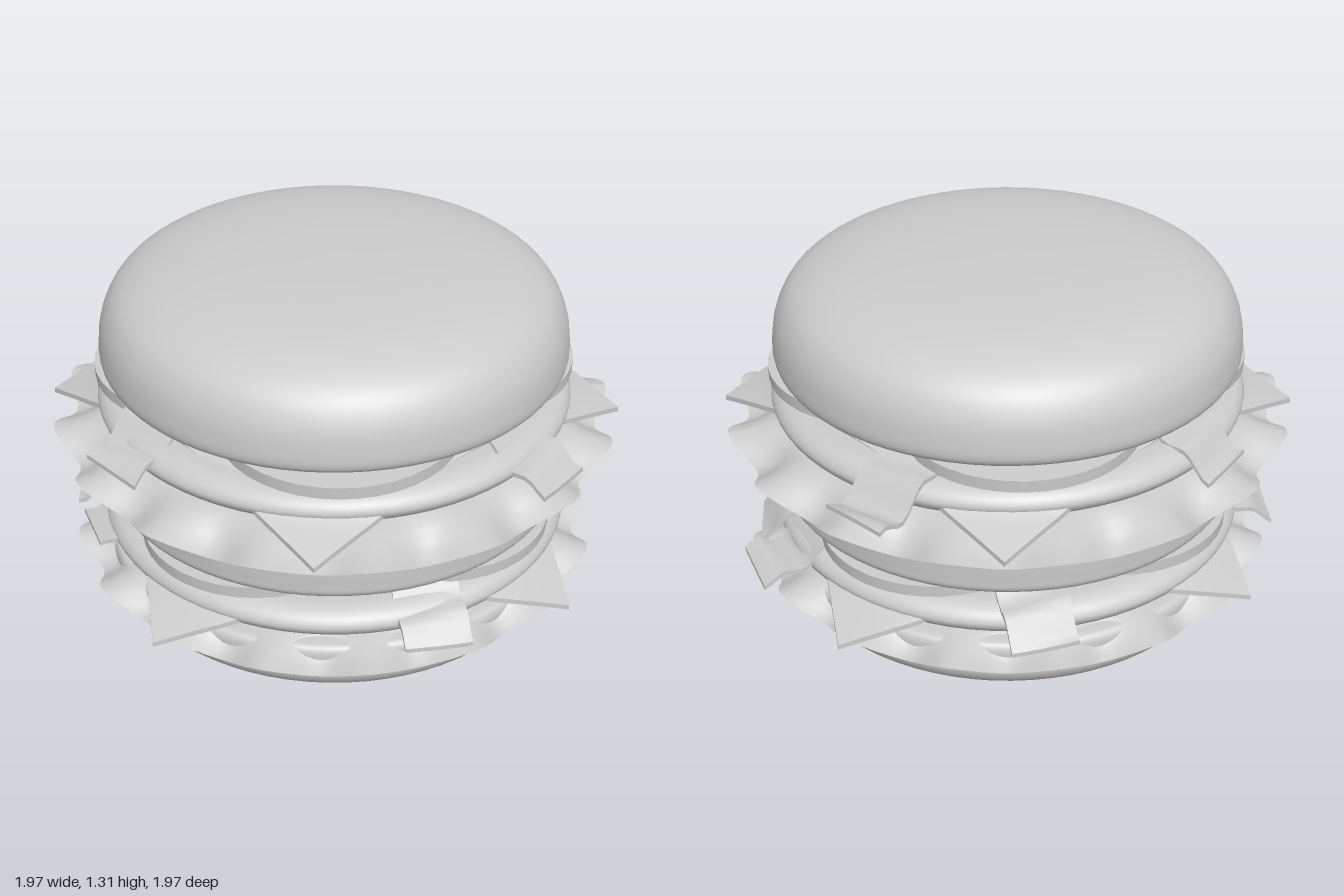
import * as THREE from 'three';

const material = new THREE.MeshStandardMaterial({ color: 0xcccccc });
const thinMaterial = new THREE.MeshStandardMaterial({ color: 0xcccccc, side: THREE.DoubleSide });
const smooth = THREE.MathUtils.smoothstep;

function add(parent, name, geometry, mat = material) {
  const mesh = new THREE.Mesh(geometry, mat);
  mesh.name = name;
  parent.add(mesh);
  return mesh;
}

// Move every vertex of a geometry by a rule, then refresh its normals
function bend(geometry, rule) {
  const p = geometry.attributes.position;
  const v = new THREE.Vector3();
  for (let i = 0; i < p.count; i++) {
    rule(v.fromBufferAttribute(p, i));
    p.setXYZ(i, v.x, v.y, v.z);
  }
  geometry.computeVertexNormals();
  return geometry;
}

// Round body from a smooth [radius, height] profile, bottom to top
function turned(points) {
  const curve = new THREE.CatmullRomCurve3(points.map(([r, y]) => new THREE.Vector3(r, y, 0)), false, 'centripetal');
  const profile = curve.getPoints(60).map(p => new THREE.Vector2(Math.max(p.x, 0), p.y));
  return new THREE.LatheGeometry(profile, 72);
}

// Leaf disc with a ruffled, drooping rim
function lettuce(radius, y) {
  const geometry = new THREE.RingGeometry(0.001, 1, 192, 20).rotateX(-Math.PI / 2);
  return bend(geometry, v => {
    const t = Math.hypot(v.x, v.z);
    const angle = Math.atan2(v.x, v.z);
    const wave = Math.cos(16 * angle);
    const edge = smooth(t, 0.74, 1);
    const reach = radius * (1 + edge * 0.033 * (wave - 1));
    v.x *= reach;
    v.z *= reach;
    v.y = y - edge * (0.068 - 0.027 * wave);
  });
}

// Square slice whose corners hang over the patty
function cheese(half, y, turn) {
  const geometry = new THREE.BoxGeometry(half * 2, 0.018, half * 2, 32, 1, 32);
  bend(geometry, v => {
    const over = Math.max(0, Math.hypot(v.x, v.z) - 0.6);
    v.y += y - 0.36 * Math.pow(over, 0.9) * smooth(over, 0, 0.25);
  });
  return geometry.rotateY(turn);
}

// Wavy strip between two [x, z] ends, drooping outside the patty
function bacon([x0, z0], [x1, z1], y, phase) {
  const length = Math.hypot(x1 - x0, z1 - z0);
  const geometry = new THREE.BoxGeometry(length, 0.016, 0.23, 72, 1, 6);
  geometry.rotateY(-Math.atan2(z1 - z0, x1 - x0));
  geometry.translate((x0 + x1) / 2, 0, (z0 + z1) / 2);
  const dx = (x1 - x0) / length, dz = (z1 - z0) / length;
  return bend(geometry, v => {
    const along = v.x * dx + v.z * dz;
    const across = v.x * dz - v.z * dx;
    const over = Math.abs(along);
    const ripple = 0.006 + 0.014 * smooth(over, 0.55, 0.8);
    v.y += y - 0.12 * smooth(over, 0.66, 0.93)
      + ripple * Math.sin(along * 38 + phase + across * 5);
  });
}

// Everything between two buns
function filling(name, y, { leafRadius, cheeseTurn, tomatoTurn, strips }) {
  const group = new THREE.Group();
  group.name = name;
  add(group, 'lettuce', lettuce(leafRadius, y), thinMaterial);
  add(group, 'patty', turned([
    [0, y + 0.005], [0.7, y + 0.005], [0.77, y + 0.012], [0.81, y + 0.035], [0.825, y + 0.065],
    [0.81, y + 0.095], [0.77, y + 0.117], [0.7, y + 0.123], [0, y + 0.123],
  ]));
  add(group, 'cheeseSlice', cheese(0.705, y + 0.137, cheeseTurn));
  strips.forEach(([a, b], i) => add(group, 'baconStrip', bacon(a, b, y + 0.155, i * 2)));
  // Four overlapping tomato slices, each tilted a little
  for (let i = 0; i < 4; i++) {
    const angle = tomatoTurn + i * Math.PI / 2;
    const tomato = add(group, 'tomatoSlice', new THREE.CylinderGeometry(0.41, 0.41, 0.043, 40));
    tomato.position.set(Math.sin(angle) * 0.42, y + 0.168, Math.cos(angle) * 0.42);
    tomato.rotation.set(0.035 * Math.cos(angle), 0, -0.035 * Math.sin(angle));
  }
  return group;
}

export function createModel() {
  const burger = new THREE.Group();
  burger.name = 'doubleBurger';

  add(burger, 'bottomBun', turned([
    [0, 0], [0.3, 0.004], [0.55, 0.019], [0.69, 0.043], [0.77, 0.078], [0.805, 0.125],
    [0.812, 0.18], [0.812, 0.235], [0.8, 0.255], [0.77, 0.262], [0, 0.262],
  ]));
  add(burger, 'middleBun', turned([
    [0, 0.458], [0.75, 0.458], [0.79, 0.464], [0.81, 0.485], [0.814, 0.52],
    [0.814, 0.66], [0.806, 0.69], [0.77, 0.705], [0, 0.705],
  ]));
  add(burger, 'topBun', turned([
    [0, 0.938], [0.74, 0.938], [0.785, 0.946], [0.806, 0.97], [0.807, 1.03], [0.79, 1.11],
    [0.745, 1.185], [0.66, 1.24], [0.52, 1.28], [0.3, 1.303], [0, 1.31],
  ]));

  burger.add(filling('lowerFilling', 0.285, {
    leafRadius: 0.93,
    cheeseTurn: 0,
    tomatoTurn: Math.PI / 4,
    strips: [
      [[0.05, -0.9], [0.22, 0.9]],
      [[-0.91, -0.22], [0.89, 0.01]],
      [[-0.88, 0.12], [0.94, -0.27]],
    ],
  }));
  burger.add(filling('upperFilling', 0.742, {
    leafRadius: 0.985,
    cheeseTurn: Math.PI / 4 - 0.41 - 0.58 + Math.PI / 2 - 0.2 + 0.2 - Math.PI / 2 - 0.785,
    tomatoTurn: -0.1,
    strips: [
      [[-0.6, -0.66], [0.66, 0.68]],
      [[-0.8, 0.44], [0.64, -0.75]],
    ],
  }));
  return burger;
}
